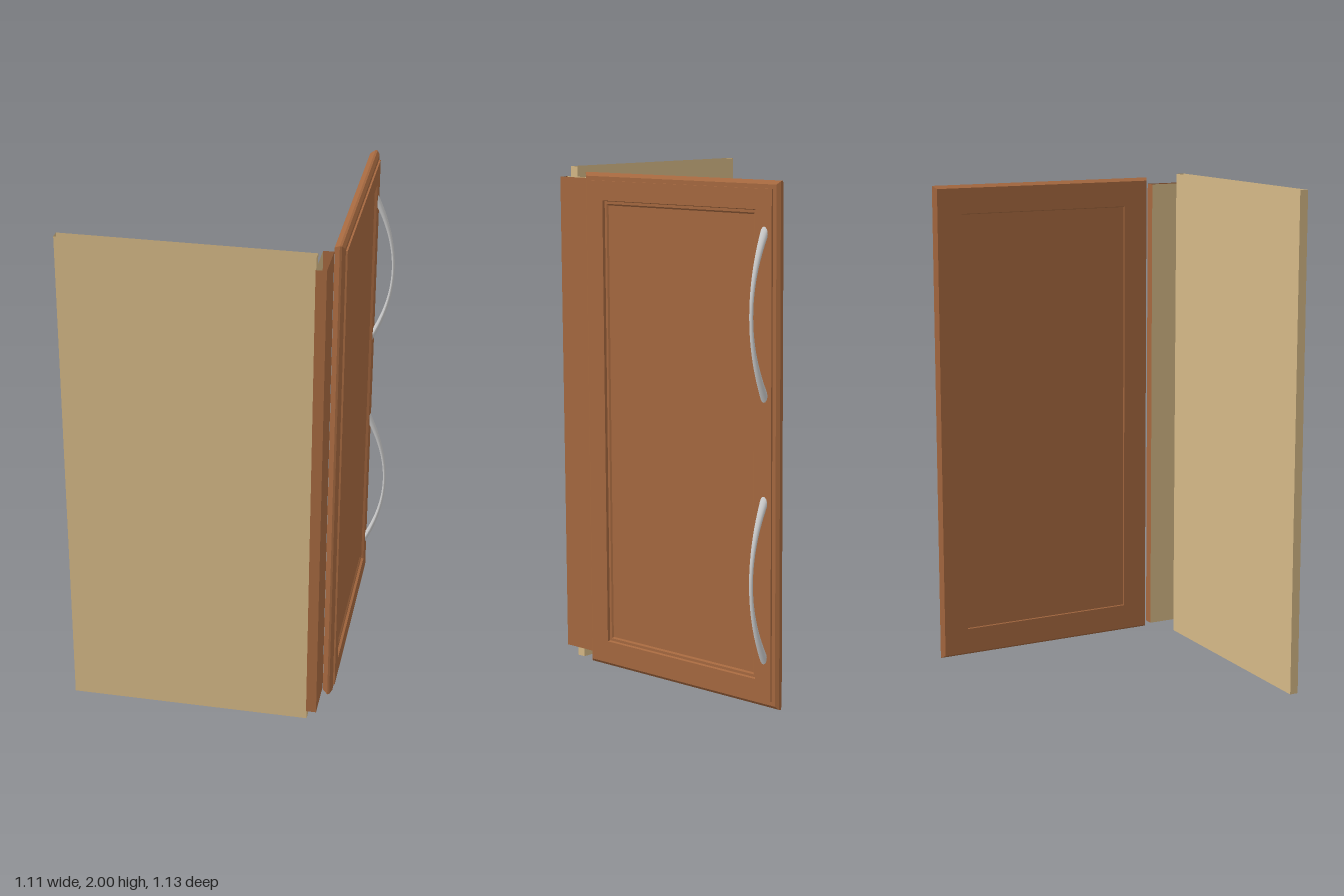
import * as THREE from 'three';

const wood = new THREE.MeshStandardMaterial({ color: 0xa5683f, flatShading: true, side: THREE.DoubleSide });
const ply = new THREE.MeshStandardMaterial({ color: 0xd4b886, flatShading: true, side: THREE.DoubleSide });
const metal = new THREE.MeshStandardMaterial({ color: 0xcccccc });

// Box between two corners keeping only the listed sides
// (0:+x 1:-x 2:+y 3:-y 4:+z 5:-z)
function walls(name, min, max, sides, material) {
  const size = max.map((v, i) => v - min[i]);
  const g = new THREE.BoxGeometry(...size);
  const index = Array.from(g.index.array);
  g.setIndex(sides.flatMap(s => index.slice(s * 6, s * 6 + 6)));
  g.clearGroups();
  g.translate(...max.map((v, i) => (v + min[i]) / 2));
  const mesh = new THREE.Mesh(g, material);
  mesh.name = name;
  return mesh;
}

// Door: rectangular rings following a moulding profile of [inset, x]
function doorGeometry() {
  const z0 = -0.565, z1 = 0.405, y0 = 0.02, y1 = 1.985;
  const profile = [
    [0.118, 0.434], [0.115, 0.43], [0.012, 0.43], [0, 0.45], [0.002, 0.458],
    [0.014, 0.468], [0.03, 0.468], [0.03, 0.475], [0.105, 0.475],
    [0.108, 0.465], [0.118, 0.465], [0.124, 0.46],
  ];
  const rings = profile.map(([d, x]) => [
    [x, y0 + d, z1 - d], [x, y1 - d, z1 - d], [x, y1 - d, z0 + d], [x, y0 + d, z0 + d],
  ]);
  const pos = [];
  const tri = (...pts) => pts.forEach(p => pos.push(...p));
  for (let i = 0; i < rings.length - 1; i++) {
    for (let j = 0; j < 4; j++) {
      const k = (j + 1) % 4;
      const a = rings[i][j], b = rings[i][k], c = rings[i + 1][k], d = rings[i + 1][j];
      tri(a, c, b);
      tri(a, d, c);
    }
  }
  const [p, q, r, s] = rings[0];
  tri(p, q, r);
  tri(p, r, s);
  const [e, f, g, h] = rings[rings.length - 1];
  tri(e, g, f);
  tri(e, h, g);
  const geo = new THREE.BufferGeometry();
  geo.setAttribute('position', new THREE.Float32BufferAttribute(pos, 3));
  geo.computeVertexNormals();
  return geo;
}

// Arched pull: a rod bent outward, slim in the middle and flared at the feet
function handleGeometry() {
  const half = 0.32;
  const g = new THREE.CylinderGeometry(1, 1, half * 2, 16, 28, true);
  const p = g.attributes.position;
  for (let i = 0; i < p.count; i++) {
    const t = p.getY(i) / half;
    const arch = 0.46 + 0.087 * (1 - t * t);
    p.setX(i, arch + p.getX(i) * (0.006 + 0.009 * t * t));
    p.setZ(i, p.getZ(i) * (0.008 + 0.011 * t * t));
  }
  g.computeVertexNormals();
  return g;
}

export function createModel() {
  const group = new THREE.Group();

  // Side panel and face frame stile, both open at top and bottom
  group.add(walls('sidePanel', [-0.56, 0, 0.515], [0.39, 2, 0.55], [0, 1, 4, 5], ply));
  group.add(walls('stile', [0.39, 0.05, 0.4], [0.43, 1.96, 0.57], [0, 4, 5], wood));
  group.add(walls('stileInnerFace', [0.39, 0.05, 0.4], [0.43, 1.96, 0.57], [1], ply));

  const door = new THREE.Mesh(doorGeometry(), wood);
  door.name = 'door';
  group.add(door);

  // Two handles near the free edge
  const geo = handleGeometry();
  [['lowerHandle', 0.51], ['upperHandle', 1.5]].forEach(([name, y]) => {
    const handle = new THREE.Mesh(geo, metal);
    handle.name = name;
    handle.position.set(0, y, -0.5);
    group.add(handle);
  });

  return group;
}
